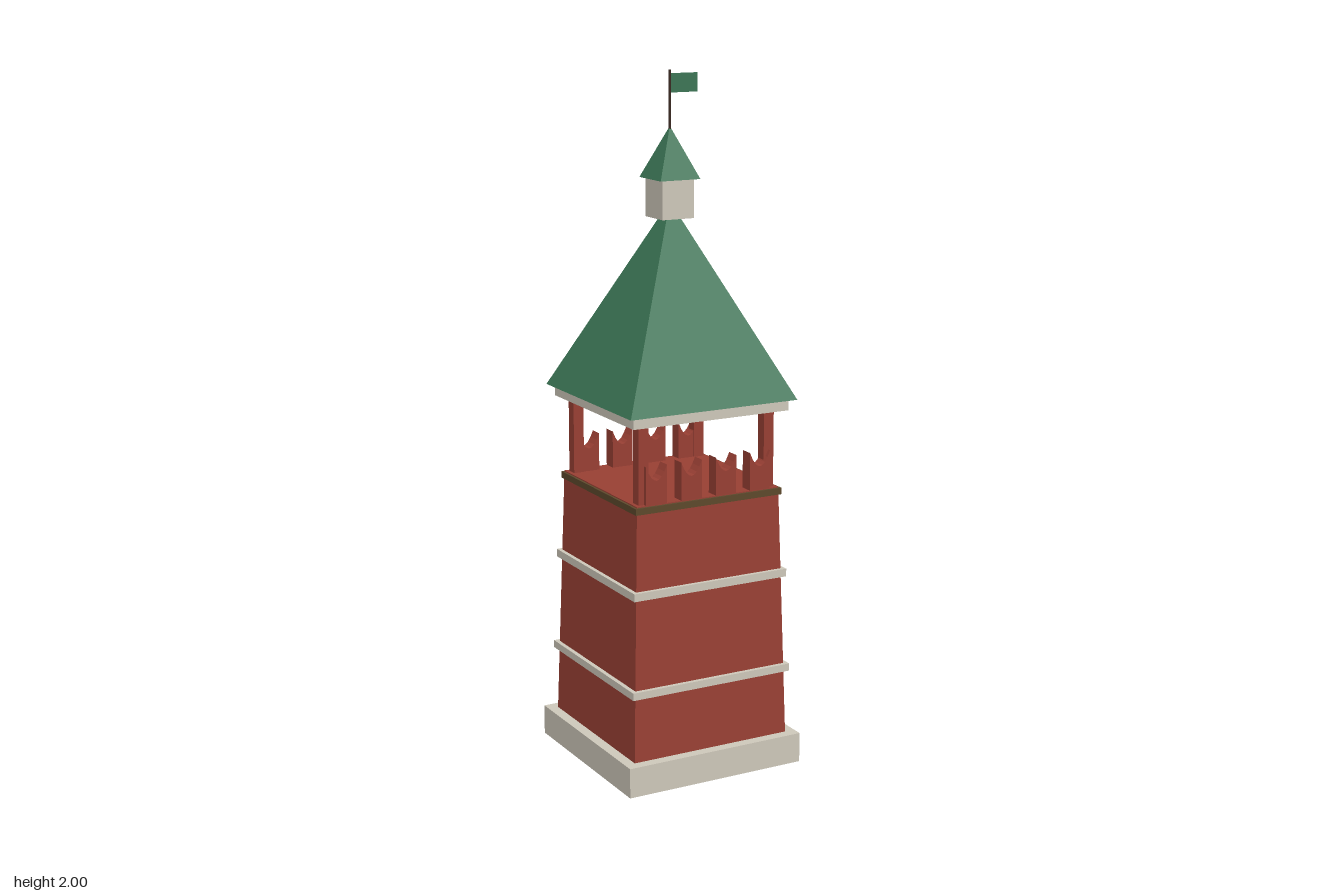
import * as THREE from 'three';

const mat = (name, color) => {
  const m = new THREE.MeshStandardMaterial({ color });
  m.name = name;
  return m;
};

export function createModel() {
  const brick = mat('red brick', 0x9a4034);
  const roofGreen = mat('roof green', 0x3c7656);
  const stone = mat('pale stone', 0xd0cabc);
  const ledgeBrown = mat('ledge brown', 0x5e4a2c);
  const poleBrown = mat('pole brown', 0x3a2820);

  const tower = new THREE.Group();
  tower.name = 'tower';

  const add = (name, geometry, material, x = 0, y = 0, z = 0) => {
    const mesh = new THREE.Mesh(geometry, material);
    mesh.name = name;
    mesh.position.set(x, y, z);
    tower.add(mesh);
    return mesh;
  };
  // Square slab given by half width and bottom/top heights
  const slab = (name, half, y0, y1, material) =>
    add(name, new THREE.BoxGeometry(half * 2, y1 - y0, half * 2), material, 0, (y0 + y1) / 2);
  // Square frustum or pyramid with axis-aligned sides
  const taper = (name, bottom, top, y0, y1, material) => {
    const g = new THREE.CylinderGeometry(top * Math.SQRT2, bottom * Math.SQRT2, y1 - y0, 4)
      .rotateY(Math.PI / 4).toNonIndexed();
    g.computeVertexNormals();
    return add(name, g, material, 0, (y0 + y1) / 2);
  };

  // Base, tapered shaft and stone bands
  slab('base', 0.28, 0, 0.088, stone);
  taper('shaft', 0.249, 0.228, 0.088, 0.83, brick);
  slab('lowerBand', 0.256, 0.278, 0.3, stone);
  slab('upperBand', 0.247, 0.564, 0.587, stone);
  slab('ledge', 0.235, 0.808, 0.827, ledgeBrown);

  // Swallowtail merlons along the front and back
  const w = 0.033;
  const outline = new THREE.Shape();
  outline.moveTo(-w, 0);
  outline.lineTo(w, 0);
  outline.lineTo(w, 0.115);
  outline.quadraticCurveTo(0, 0.03, -w, 0.115);
  outline.closePath();
  const merlon = new THREE.ExtrudeGeometry(outline, { depth: 0.04, bevelEnabled: false, curveSegments: 8 })
    .translate(0, 0, -0.02);
  for (const side of [1, -1]) {
    for (let i = 0; i < 4; i++) {
      add('merlon', merlon, brick, (i - 1.5) * 0.111, 0.825, side * 0.208);
    }
  }

  // Corner posts of the open belfry
  const post = new THREE.BoxGeometry(0.032, 0.235, 0.032);
  for (const x of [-0.201, 0.201]) {
    for (const z of [-0.201, 0.201]) add('cornerPost', post, brick, x, 0.9425, z);
  }

  // Cornice, main roof, lantern and its cap
  slab('cornice', 0.247, 1.055, 1.087, stone);
  taper('mainRoof', 0.265, 0, 1.087, 1.635, roofGreen);
  slab('lantern', 0.05, 1.59, 1.7, stone);
  taper('lanternRoof', 0.063, 0, 1.7, 1.845, roofGreen);

  // Flagpole and flag
  add('flagpole', new THREE.CylinderGeometry(0.004, 0.004, 0.18, 8), poleBrown, 0, 1.91, 0);
  add('flag', new THREE.BoxGeometry(0.085, 0.053, 0.003), roofGreen, 0.0445, 1.9635, 0);

  return tower;
}
